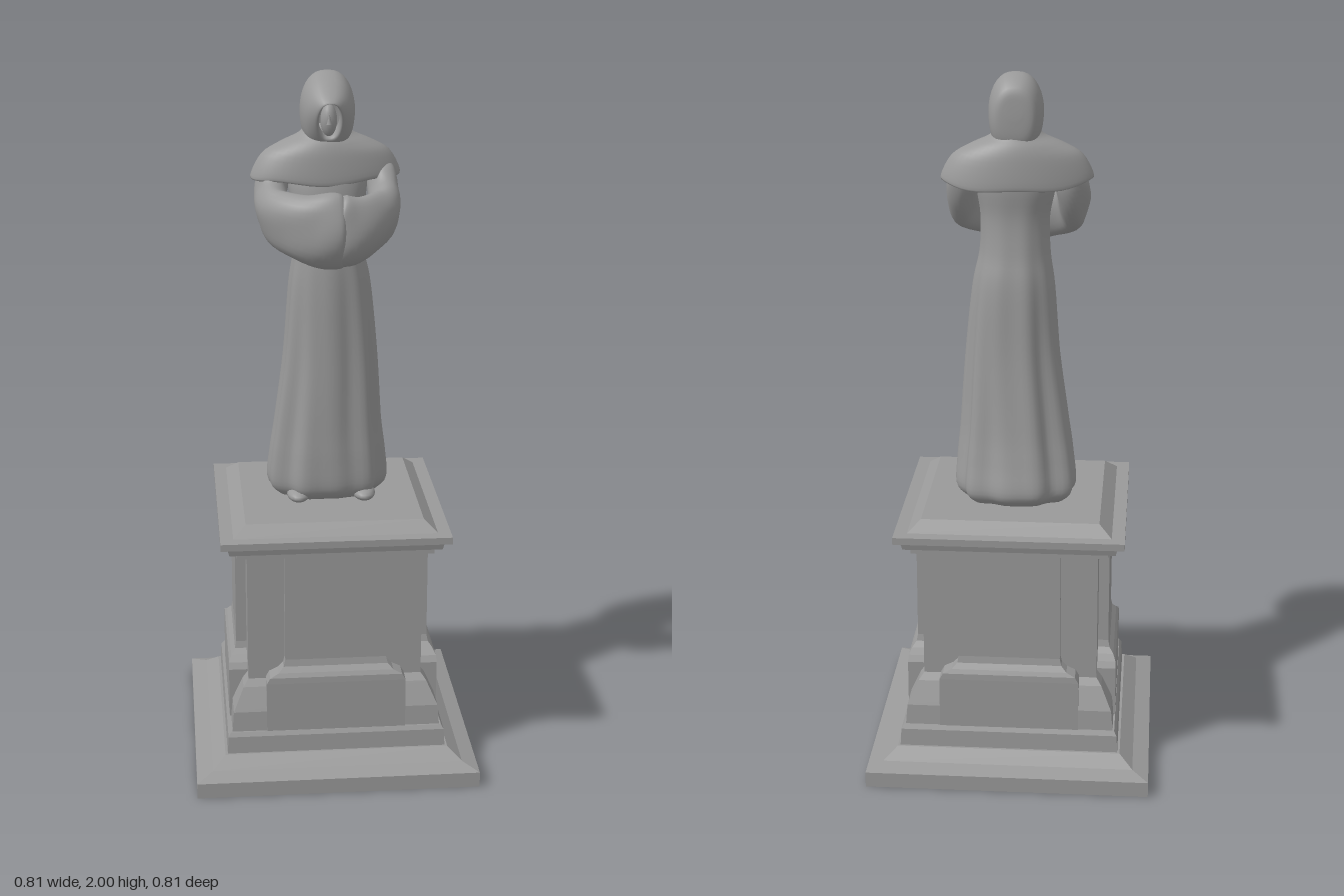
import * as THREE from 'three';

const smooth = new THREE.MeshStandardMaterial({ color: 0x999999, side: THREE.DoubleSide });
const flat = new THREE.MeshStandardMaterial({ color: 0x999999, flatShading: true });

// Skin a list of rings (equal numbers of Vector3) and close both ends; faces point outward
function loft(rings) {
  const n = rings[0].length, m = rings.length, pts = rings.flat(), index = [];
  for (let i = 0; i < m - 1; i++) for (let j = 0; j < n; j++) {
    const a = i * n + j, b = i * n + (j + 1) % n, c = a + n, d = b + n;
    index.push(a, c, b, b, c, d);
  }
  for (const [start, flip] of [[0, false], [(m - 1) * n, true]]) {
    const centre = new THREE.Vector3();
    for (let j = 0; j < n; j++) centre.addScaledVector(pts[start + j], 1 / n);
    const c = pts.push(centre) - 1;
    for (let j = 0; j < n; j++) {
      const a = start + j, b = start + (j + 1) % n;
      index.push(c, flip ? b : a, flip ? a : b);
    }
  }
  let volume = 0;
  for (let i = 0; i < index.length; i += 3) {
    volume += pts[index[i]].dot(pts[index[i + 1]].clone().cross(pts[index[i + 2]]));
  }
  if (volume < 0) index.reverse();
  const g = new THREE.BufferGeometry().setFromPoints(pts);
  g.setIndex(index);
  g.computeVertexNormals();
  return g;
}

const ring = (n, f) => Array.from({ length: n }, (_, j) => f(j / n * Math.PI * 2));
const power = (v, e) => Math.sign(v) * Math.abs(v) ** e;

// Resample a table of [..numbers] rows as a smooth curve through all columns
function resample(rows, count) {
  return Array.from({ length: count + 1 }, (_, k) => {
    const t = k / count * (rows.length - 1), i = Math.min(Math.floor(t), rows.length - 2), u = t - i;
    const at = q => rows[Math.max(0, Math.min(rows.length - 1, q))];
    return rows[i].map((p1, c) => {
      const p0 = at(i - 1)[c], p2 = at(i + 1)[c], p3 = at(i + 2)[c];
      return p1 + 0.5 * u * (p2 - p0 + u * (2 * p0 - 5 * p1 + 4 * p2 - p3 + u * (3 * (p1 - p2) + p3 - p0)));
    });
  });
}

// Stack of rectangles, rows are [halfX, halfZ, y]
const stack = rows => loft(rows.map(([x, z, y]) =>
  [[1, 1], [-1, 1], [-1, -1], [1, -1]].map(([a, b]) => new THREE.Vector3(a * x, y, b * z))));

export function createModel() {
  const model = new THREE.Group();
  const add = (name, geometry, material, parent) => {
    const mesh = new THREE.Mesh(geometry, material);
    mesh.name = name;
    parent.add(mesh);
    return mesh;
  };

  // Pedestal
  const pedestal = new THREE.Group();
  pedestal.name = 'pedestal';
  model.add(pedestal);
  const square = rows => stack(rows.map(([h, y]) => [h, h, y]));
  add('plinth', square([[0.406, 0], [0.406, 0.045], [0.36, 0.06], [0.322, 0.09], [0.315, 0.09],
    [0.312, 0.14], [0.305, 0.152]]), flat, pedestal);
  add('cornerPiers', square([[0.3, 0.15], [0.295, 0.21], [0.265, 0.275], [0.25, 0.295], [0.25, 0.69]]), flat, pedestal);
  const panel = [[0.2, 0.304, 0.15], [0.2, 0.304, 0.3], [0.19, 0.303, 0.318], [0.165, 0.296, 0.33],
    [0.15, 0.284, 0.345], [0.145, 0.28, 0.365], [0.145, 0.28, 0.69]];
  add('frontBackPanels', stack(panel), flat, pedestal);
  add('sidePanels', stack(panel.map(([a, b, y]) => [b, a, y])), flat, pedestal);
  add('cornice', square([[0.28, 0.68], [0.28, 0.695], [0.3, 0.7], [0.305, 0.72], [0.325, 0.725],
    [0.325, 0.745], [0.288, 0.745], [0.252, 0.775]]), flat, pedestal);

  const figure = new THREE.Group();
  figure.name = 'robedFigure';
  model.add(figure);

  // Robe: [y, right x, left x, back z, front z, fold depth]
  const robe = resample([
    [0.78, -0.15, 0.145, -0.15, 0.09, 0.05], [0.815, -0.178, 0.172, -0.175, 0.113, 0.06],
    [0.9, -0.172, 0.168, -0.158, 0.113, 0.065], [1.0, -0.156, 0.157, -0.14, 0.108, 0.065],
    [1.2, -0.128, 0.142, -0.117, 0.102, 0.05], [1.4, -0.111, 0.122, -0.105, 0.101, 0.03],
    [1.5, -0.097, 0.103, -0.089, 0.096, 0.015], [1.6, -0.095, 0.1, -0.081, 0.084, 0.01],
    [1.7, -0.11, 0.11, -0.09, 0.072, 0], [1.8, -0.08, 0.08, -0.075, 0.04, 0]], 45);
  add('robe', loft(robe.map(([y, x0, x1, z0, z1, f]) => ring(72, a => {
    const fold = 1 + f * (Math.sin(7 * a + 1.5 * y) * 0.6 + Math.sin(11 * a - 2 * y) * 0.5) - f * 0.2;
    return new THREE.Vector3((x0 + x1) / 2 + (x1 - x0) / 2 * power(Math.cos(a), 0.9) * fold, y,
      (z0 + z1) / 2 + (z1 - z0) / 2 * power(Math.sin(a), 0.9) * fold);
  }))), smooth, figure);

  // Shoes showing below the hem
  for (const [name, x] of [['rightShoe', -0.09], ['leftShoe', 0.1]]) {
    const shoe = add(name, new THREE.SphereGeometry(1, 16, 10), smooth, figure);
    shoe.scale.set(0.033, 0.02, 0.055);
    shoe.position.set(x, 0.79, 0.062);
  }

  // Shoulder cape: [y, half width, half depth, drop at the back]
  const cape = resample([[1.86, 0.05, 0.05, 0], [1.83, 0.075, 0.06, 0], [1.805, 0.13, 0.077, 0],
    [1.775, 0.18, 0.088, 0.01], [1.72, 0.21, 0.096, 0.028], [1.708, 0.198, 0.088, 0.028],
    [1.73, 0.12, 0.06, 0.02]], 24);
  add('cape', loft(cape.map(([y, w, d, drop]) => ring(48, a => {
    const x = w * Math.cos(a), s = Math.sin(a);
    const sag = drop * (0.8 * Math.max(0, -s) + 0.4 * Math.max(0, s) ** 3 + 0.12 * Math.sin(5 * a));
    return new THREE.Vector3(x - 0.004, y - sag, -0.02 + d * power(s, 1.1) - 0.1 * x);
  }))), smooth, figure);

  // Sleeves meeting in front: [x, y, z, half height, half thickness]
  const sleeve = resample([[0.13, 1.745, -0.02, 0.02, 0.02], [0.15, 1.715, -0.015, 0.045, 0.042],
    [0.157, 1.66, 0.02, 0.062, 0.044], [0.148, 1.618, 0.08, 0.078, 0.047],
    [0.09, 1.598, 0.142, 0.09, 0.054], [0.035, 1.59, 0.163, 0.104, 0.06],
    [-0.005, 1.592, 0.166, 0.1, 0.055], [-0.012, 1.592, 0.166, 0.06, 0.03]], 36);
  for (const [name, side, shift, grow] of [['leftSleeve', 1, 0.03, 0.96], ['rightSleeve', -1, -0.03, 1.03]]) {
    const centres = sleeve.map(([x, y, z], i) =>
      new THREE.Vector3(side * (x + shift * Math.max(0, (i - 18) / 18)), y, z));
    add(name, loft(sleeve.map(([, , , h, t], i) => {
      const k = Math.min(i, 31);
      const tangent = centres[k + 1].clone().sub(centres[Math.max(0, k - 1)]).normalize();
      const up = new THREE.Vector3(0, 1, 0.1);
      up.addScaledVector(tangent, -up.dot(tangent)).normalize();
      const out = new THREE.Vector3().crossVectors(tangent, up);
      return ring(28, a => centres[i].clone()
        .addScaledVector(up, h * grow * Math.cos(a))
        .addScaledVector(out, t * grow * Math.sin(a) * (1 + 0.08 * Math.sin(3 * a + i * 0.3))));
    })), smooth, figure);
  }

  // Hood, back to brim and then inward: [top z, top y, bottom z, bottom y, half width, squareness of the lower half]
  const hood = resample([[-0.084, 1.92, -0.086, 1.88, 0.02, 0.9], [-0.074, 1.965, -0.082, 1.82, 0.055, 0.7],
    [-0.02, 2.0, -0.06, 1.795, 0.073, 0.5], [0.03, 1.985, -0.01, 1.795, 0.075, 0.45],
    [0.08, 1.953, 0.03, 1.8, 0.062, 0.5], [0.11, 1.928, 0.05, 1.812, 0.038, 0.7],
    [0.09, 1.928, 0.05, 1.825, 0.029, 0.8], [0.03, 1.935, 0.02, 1.84, 0.032, 0.8]], 35);
  add('hood', loft(hood.map(([z0, y0, z1, y1, w, e]) => ring(36, a => {
    const c = Math.cos(a), s = Math.sin(a);
    return new THREE.Vector3(w * power(s, c < 0 ? e : 0.8),
      (y0 + y1) / 2 + (y0 - y1) / 2 * c, (z0 + z1) / 2 + (z0 - z1) / 2 * c);
  }))), smooth, figure);

  // Face set back in the hood
  const face = add('face', new THREE.SphereGeometry(1, 16, 12), smooth, figure);
  face.scale.set(0.023, 0.045, 0.025);
  face.position.set(0, 1.872, 0.04);
  const nose = add('nose', new THREE.ConeGeometry(0.008, 0.03, 8), smooth, figure);
  nose.position.set(0, 1.878, 0.063);

  return model;
}
